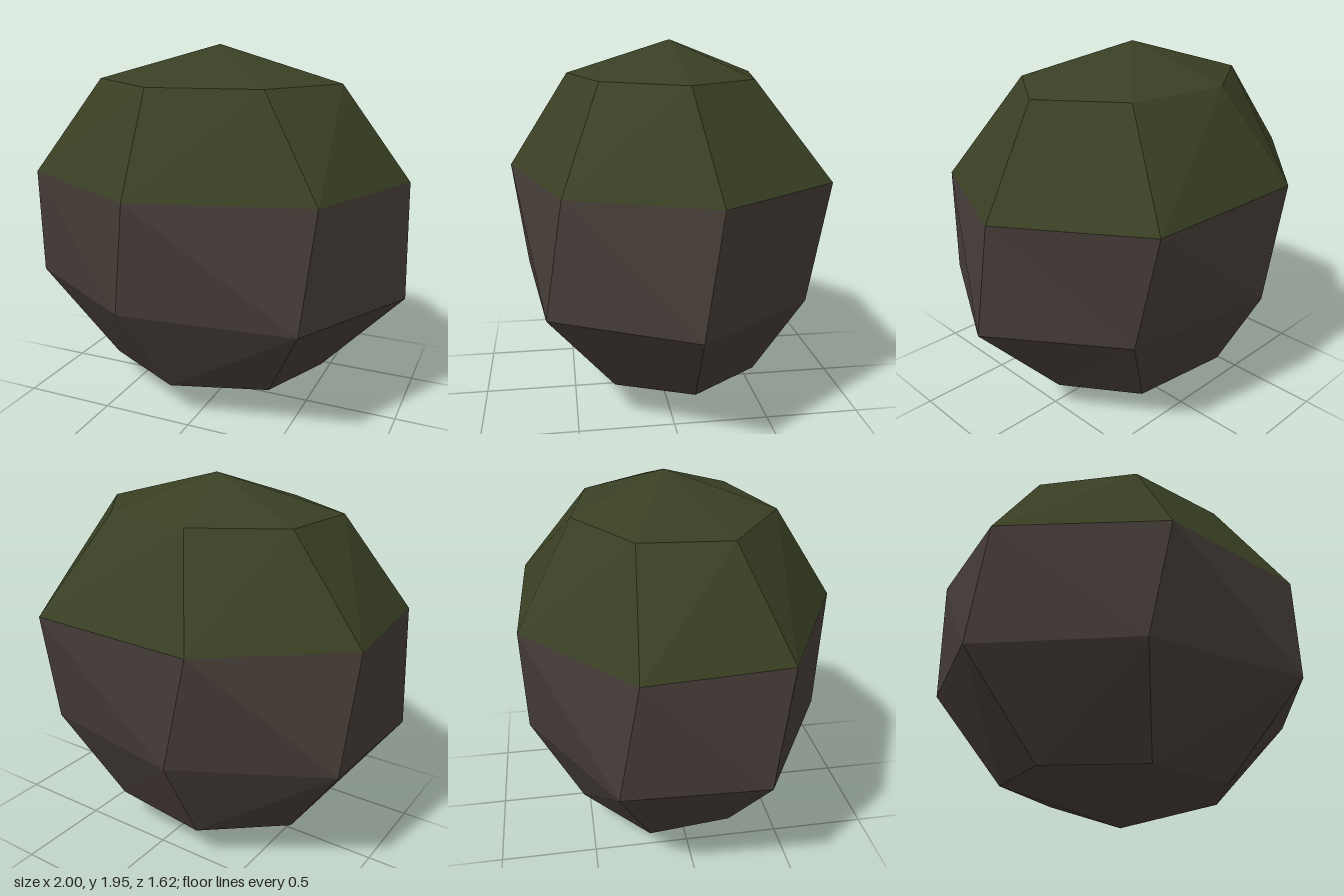
import * as THREE from 'three';

// Horizontal rings of seven [x, z] corners, top to bottom
const RINGS = [
  { y: 1.77, p: [[0.62, -0.05], [0.35, 0.35], [-0.21, 0.49], [-0.65, 0.18], [-0.61, -0.26], [-0.19, -0.52], [0.33, -0.42]] },
  { y: 1.28, p: [[0.97, -0.14], [0.69, 0.55], [-0.17, 0.81], [-0.94, 0.40], [-1.0, -0.30], [-0.40, -0.81], [0.52, -0.78]] },
  { y: 0.68, p: [[1.0, -0.05], [0.64, 0.64], [-0.27, 0.74], [-1.0, 0.31], [-0.97, -0.40], [-0.26, -0.80], [0.55, -0.66]] },
  { y: 0.19, p: [[0.55, -0.10], [0.38, 0.30], [-0.12, 0.46], [-0.59, 0.21], [-0.64, -0.22], [-0.26, -0.54], [0.29, -0.47]] },
];
const SIDES = 7;
const TOP = [-0.05, 1.95, -0.05];
const BOTTOM = [-0.05, 0, -0.05];

const corner = (r, k) => {
  const [x, z] = RINGS[r].p[k % SIDES];
  return [x, RINGS[r].y, z];
};

// Fan of triangles from a pole to a ring
function cap(pole, r, isTop) {
  const tris = [];
  for (let k = 0; k < SIDES; k++) {
    const a = corner(r, k), b = corner(r, k + 1);
    tris.push(pole, ...(isTop ? [b, a] : [a, b]));
  }
  return tris;
}

// Band between ring r and the next, split along its outward-bulging diagonal
function band(r, flip) {
  const tris = [];
  for (let k = 0; k < SIDES; k++) {
    const a = corner(r, k), b = corner(r, k + 1);
    const c = corner(r + 1, k), d = corner(r + 1, k + 1);
    if (flip) tris.push(a, b, d, a, d, c);
    else tris.push(a, b, c, b, d, c);
  }
  return tris;
}

function facetedMesh(name, tris, material) {
  const geo = new THREE.BufferGeometry();
  geo.setAttribute('position', new THREE.Float32BufferAttribute(tris.flat(), 3));
  geo.computeVertexNormals();
  const mesh = new THREE.Mesh(geo, material);
  mesh.name = name;
  return mesh;
}

export function createModel() {
  const moss = new THREE.MeshStandardMaterial({ color: 0x393f23, flatShading: true });
  moss.name = 'moss green';
  const stone = new THREE.MeshStandardMaterial({ color: 0x453c37, flatShading: true });
  stone.name = 'brown stone';

  const group = new THREE.Group();
  group.name = 'mossyBoulder';
  // Mossy crown over the bare stone body
  group.add(facetedMesh('mossCap', [...cap(TOP, 0, true), ...band(0, true)], moss));
  group.add(facetedMesh('stoneBody', [...band(1, false), ...band(2, true), ...cap(BOTTOM, 3, false)], stone));
  return group;
}
